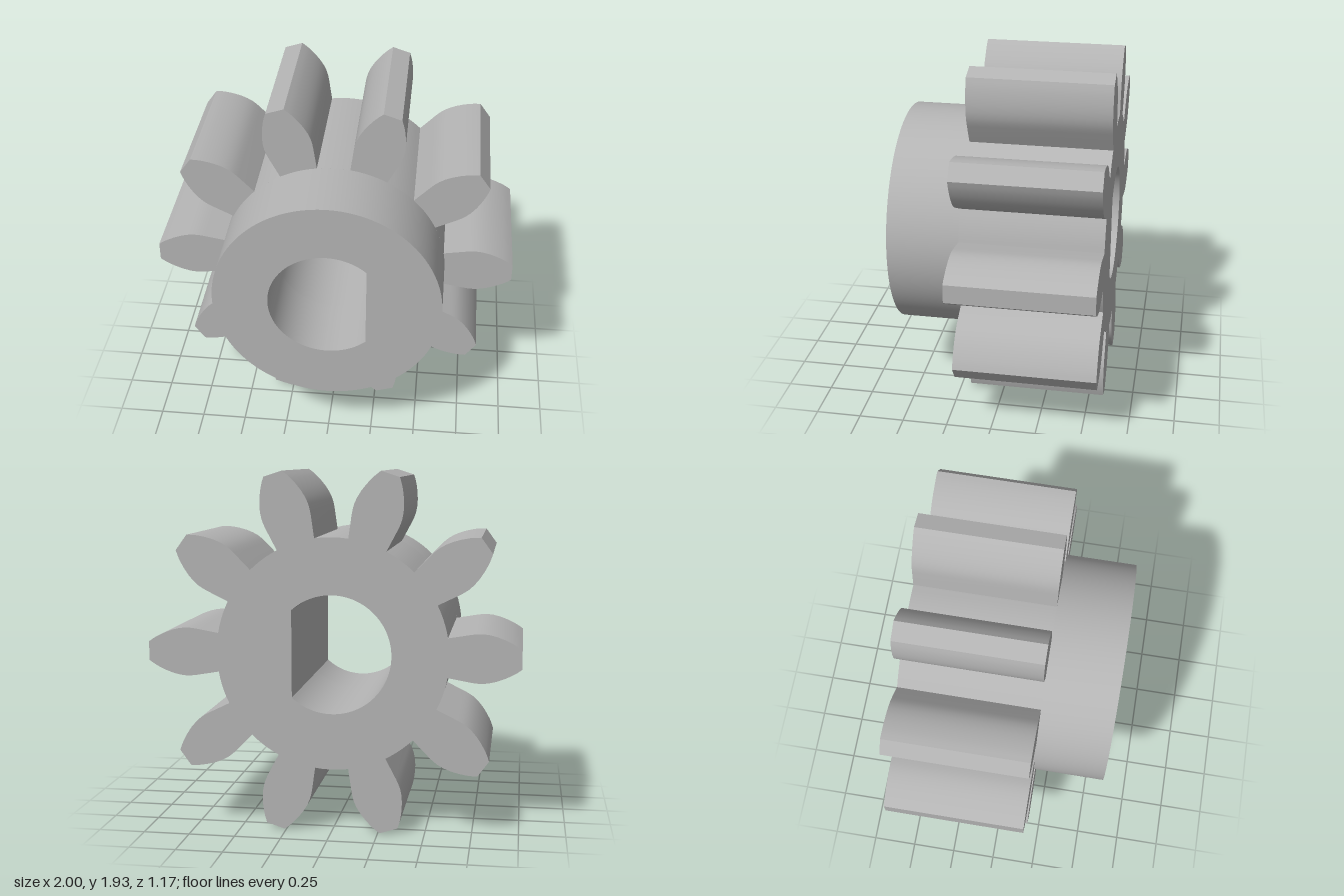
import * as THREE from 'three';
import { toCreasedNormals } from 'three/addons/utils/BufferGeometryUtils.js';

const TEETH = 10;
const HUB_R = 0.623, BORE_R = 0.319, BORE_FLAT_X = 0.215;
const BACK = -0.585, STEP = 0.19, FRONT = 0.585;
const CENTRE_Y = 0.966;

// Half of a tooth: [distance along its axis, half width], root to tip
const FLANK = [
  [0.614, 0.105], [0.735, 0.126], [0.765, 0.13], [0.795, 0.131], [0.83, 0.127],
  [0.87, 0.117], [0.91, 0.102], [0.95, 0.083], [0.975, 0.068], [0.999, 0.051],
];

// D-shaped shaft hole with its flat on the +x side
function borePath() {
  const a = Math.acos(BORE_FLAT_X / BORE_R);
  const path = new THREE.Path();
  path.absarc(0, 0, BORE_R, a, Math.PI * 2 - a, false);
  path.closePath();
  return path;
}

// Toothed outline: root arcs joined by mirrored flanks
function gearShape() {
  const pts = [];
  const step = (Math.PI * 2) / TEETH;
  const rootAngle = Math.atan2(FLANK[0][1], FLANK[0][0]);
  const profile = [
    ...FLANK.map(([u, v]) => [u, -v]),
    ...FLANK.slice().reverse(),
  ];
  for (let i = 0; i < TEETH; i++) {
    const a = i * step, c = Math.cos(a), s = Math.sin(a);
    for (const [u, v] of profile) pts.push(new THREE.Vector2(u * c - v * s, u * s + v * c));
    for (let k = 1; k < 5; k++) {
      const t = a + rootAngle + ((step - 2 * rootAngle) * k) / 5;
      pts.push(new THREE.Vector2(HUB_R * Math.cos(t), HUB_R * Math.sin(t)));
    }
  }
  return new THREE.Shape(pts);
}

function hubShape() {
  const shape = new THREE.Shape();
  shape.absarc(0, 0, HUB_R, 0, Math.PI * 2, false);
  return shape;
}

// Extrude a bored outline between two z positions
function boredPart(name, shape, z0, z1, material) {
  shape.holes.push(borePath());
  const geo = new THREE.ExtrudeGeometry(shape, { depth: z1 - z0, bevelEnabled: false, curveSegments: 48 });
  geo.translate(0, CENTRE_Y, z0);
  const mesh = new THREE.Mesh(toCreasedNormals(geo, 0.45), material);
  mesh.name = name;
  return mesh;
}

export function createModel() {
  const group = new THREE.Group();
  group.name = 'pinionGear';
  const grey = new THREE.MeshStandardMaterial({ color: 0xb4b4b4 });
  grey.name = 'plainGrey';
  group.add(boredPart('toothedWheel', gearShape(), BACK, STEP, grey));
  group.add(boredPart('hubCollar', hubShape(), STEP, FRONT, grey));
  return group;
}
